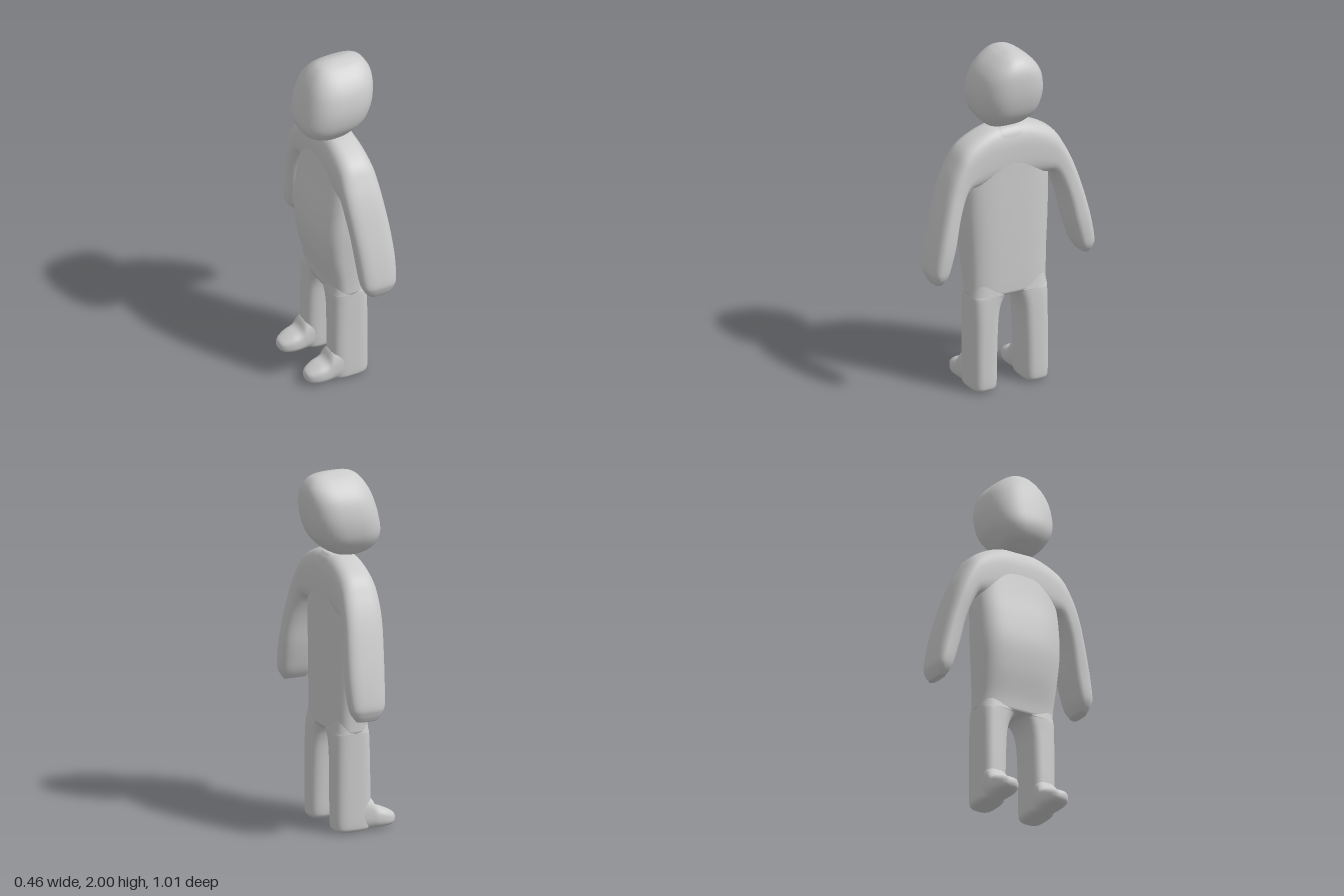
import * as THREE from 'three';

const grey = new THREE.MeshStandardMaterial({ color: 0xcccccc });
const V = (x, y, z) => new THREE.Vector3(x, y, z);

// Smooth closed skin through sections { c: centre, u, v: half axes };
// p sets how boxy the outline is (2 = ellipse).
function loft(name, sections, p = 3, sides = 40, sub = 5) {
  const curve = (k) => new THREE.CatmullRomCurve3(sections.map((s) => s[k]), false, 'catmullrom', 0.5);
  const [C, U, W] = ['c', 'u', 'v'].map(curve);
  const rows = (sections.length - 1) * sub;
  const pos = [], idx = [];
  const bend = (t) => Math.sign(t) * Math.abs(t) ** (2 / p);
  for (let i = 0; i <= rows; i++) {
    const c = C.getPoint(i / rows), u = U.getPoint(i / rows), w = W.getPoint(i / rows);
    for (let j = 0; j < sides; j++) {
      const a = (j / sides) * Math.PI * 2;
      const q = c.clone().addScaledVector(u, bend(Math.cos(a))).addScaledVector(w, bend(Math.sin(a)));
      pos.push(q.x, q.y, q.z);
      if (i < rows) {
        const k = (j + 1) % sides, r = i * sides, n = r + sides;
        idx.push(r + j, n + j, r + k, r + k, n + j, n + k);
      }
    }
  }
  // End caps
  const first = pos.length / 3, last = first + 1, end = rows * sides;
  for (const s of [sections[0], sections.at(-1)]) pos.push(s.c.x, s.c.y, s.c.z);
  for (let j = 0; j < sides; j++) {
    const k = (j + 1) % sides;
    idx.push(first, j, k, last, end + k, end + j);
  }
  // Turn the faces outward if the signed volume is negative
  const P = (i) => V(pos[3 * i], pos[3 * i + 1], pos[3 * i + 2]);
  let volume = 0;
  for (let i = 0; i < idx.length; i += 3) volume += P(idx[i]).dot(P(idx[i + 1]).cross(P(idx[i + 2])));
  if (volume < 0) idx.reverse();

  const g = new THREE.BufferGeometry();
  g.setAttribute('position', new THREE.Float32BufferAttribute(pos, 3));
  g.setIndex(idx);
  g.computeVertexNormals();
  const mesh = new THREE.Mesh(g, grey);
  mesh.name = name;
  return mesh;
}

// Level section at height y
const level = (y, x0, x1, z0, z1) => ({
  c: V((x0 + x1) / 2, y, (z0 + z1) / 2), u: V((x1 - x0) / 2, 0, 0), v: V(0, 0, (z1 - z0) / 2),
});
// Upright section across the foot at x
const upright = (x, y0, y1, z, h) => ({
  c: V(x, (y0 + y1) / 2, z), u: V(0, (y1 - y0) / 2, 0), v: V(0, 0, h),
});
// Arm section between an inner and an outer point of the (z, y) outline
const across = (zi, yi, zo, yo, x0, x1) => ({
  c: V((x0 + x1) / 2, (yi + yo) / 2, (zi + zo) / 2),
  u: V((x1 - x0) / 2, 0, 0), v: V(0, (yo - yi) / 2, (zo - zi) / 2),
});

export function createModel() {
  const model = new THREE.Group();
  model.name = 'figure';

  // Head: slanted rounded block, face toward -x
  model.add(loft('head', [
    [1.528, -0.07, 0.03, 0.05], [1.545, -0.11, 0.07, 0.1], [1.58, -0.172, 0.128, 0.135],
    [1.65, -0.2, 0.187, 0.178], [1.75, -0.186, 0.22, 0.194], [1.85, -0.158, 0.23, 0.178],
    [1.92, -0.125, 0.222, 0.138], [1.97, -0.085, 0.188, 0.083], [1.992, -0.04, 0.14, 0.04],
    [2.0, 0.01, 0.09, 0.012],
  ].map(([y, a, b, h]) => level(y, a, b, -h, h)), 2.7));

  // Torso with a rounded belly
  model.add(loft('torso', [
    [0.565, -0.08, 0.13, 0.235], [0.65, -0.092, 0.132, 0.236], [0.8, -0.125, 0.133, 0.244],
    [0.95, -0.14, 0.133, 0.253], [1.1, -0.127, 0.132, 0.256], [1.25, -0.1, 0.13, 0.25],
    [1.4, -0.078, 0.128, 0.21], [1.5, -0.068, 0.118, 0.15], [1.545, -0.03, 0.09, 0.07],
  ].map(([y, a, b, h]) => level(y, a, b, -h, h)), 3.2));

  // Both arms and the shoulders in one sweep from hand to hand
  const arm = [
    [0.125, 1.22, 0.13, 1.537, -0.08, 0.132], [0.205, 1.22, 0.268, 1.468, -0.08, 0.137],
    [0.258, 1.215, 0.338, 1.365, -0.079, 0.142], [0.295, 1.15, 0.392, 1.245, -0.074, 0.15],
    [0.328, 1.05, 0.44, 1.09, -0.062, 0.163], [0.355, 0.92, 0.48, 0.93, -0.05, 0.172],
    [0.385, 0.81, 0.503, 0.795, -0.04, 0.168], [0.405, 0.755, 0.495, 0.745, -0.025, 0.157],
    [0.43, 0.714, 0.477, 0.706, 0.005, 0.13],
  ];
  const mirrored = arm.map(([zi, yi, zo, ...rest]) => [-zi, yi, -zo, ...rest]).reverse();
  model.add(loft('armsAndShoulders', [
    ...mirrored, [0, 1.22, 0, 1.55, -0.08, 0.13], ...arm,
  ].map((s) => across(...s)), 3));

  for (const side of [1, -1]) {
    const name = side > 0 ? 'left' : 'right';

    // Leg, its inner edge curving into the crotch arch
    model.add(loft(name + 'Leg', [
      [0.002, -0.05, 0.105, 0.11, 0.205], [0.015, -0.072, 0.125, 0.092, 0.226],
      [0.05, -0.08, 0.134, 0.083, 0.234], [0.2, -0.083, 0.135, 0.08, 0.235],
      [0.4, -0.081, 0.134, 0.072, 0.235], [0.48, -0.08, 0.133, 0.06, 0.235],
      [0.53, -0.08, 0.132, 0.04, 0.235], [0.56, -0.08, 0.131, 0.012, 0.235],
      [0.575, -0.08, 0.13, -0.03, 0.234], [0.66, -0.07, 0.12, -0.03, 0.22],
    ].map(([y, a, b, z0, z1]) => level(y, a, b, side * z0, side * z1)), 3.2));

    // Foot
    model.add(loft(name + 'Foot', [
      [0.09, 0.006, 0.14, 0.065], [-0.02, 0.003, 0.205, 0.072], [-0.08, 0.004, 0.185, 0.073],
      [-0.115, 0.006, 0.135, 0.073], [-0.165, 0.008, 0.113, 0.07], [-0.205, 0.014, 0.093, 0.055],
      [-0.226, 0.026, 0.078, 0.036], [-0.234, 0.042, 0.062, 0.016],
    ].map(([x, y0, y1, h]) => upright(x, y0, y1, side * 0.16, h)), 2.7));
  }
  return model;
}
